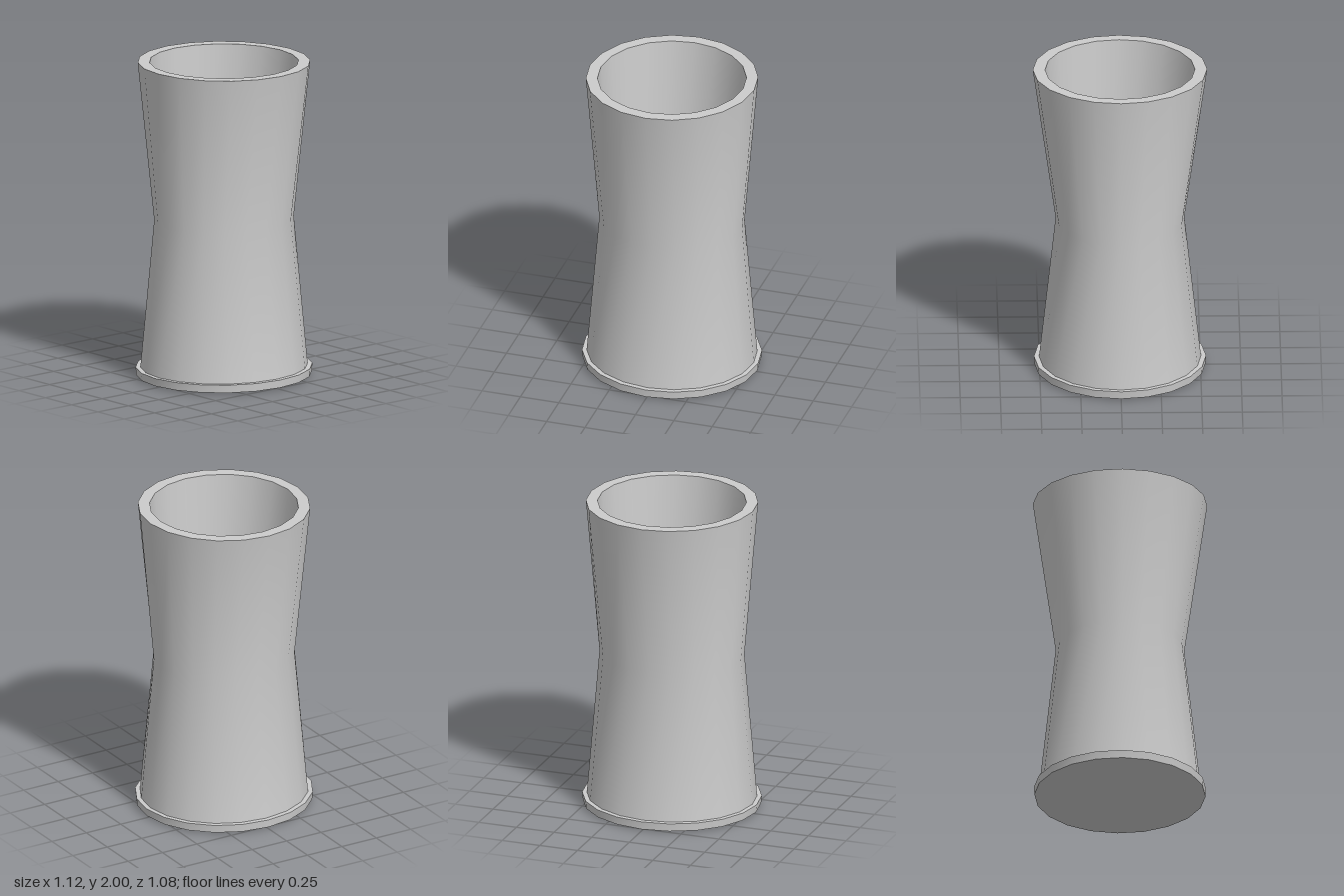
import * as THREE from 'three';

const SIDES = 20;

// Smooth band through elliptical rings [y, radiusX, radiusZ]; list rings upward
// for a surface facing outward, downward for one facing inward.
function loft(rings) {
  const pos = [], index = [];
  for (const [y, rx, rz] of rings) {
    for (let i = 0; i < SIDES; i++) {
      const a = (i / SIDES) * Math.PI * 2;
      pos.push(rx * Math.sin(a), y, rz * Math.cos(a));
    }
  }
  for (let r = 0; r < rings.length - 1; r++) {
    for (let i = 0; i < SIDES; i++) {
      const j = (i + 1) % SIDES;
      const a = r * SIDES + i, b = r * SIDES + j;
      index.push(a, b, b + SIDES, a, b + SIDES, a + SIDES);
    }
  }
  const geo = new THREE.BufferGeometry();
  geo.setAttribute('position', new THREE.Float32BufferAttribute(pos, 3));
  geo.setIndex(index);
  geo.computeVertexNormals();
  return geo;
}

export function createModel() {
  const group = new THREE.Group();
  const material = new THREE.MeshStandardMaterial({ color: 0xcccccc });
  const add = (name, rings) => {
    const mesh = new THREE.Mesh(loft(rings), material);
    mesh.name = name;
    group.add(mesh);
  };

  // Key cross-sections
  const rimOuter = [2, 0.535, 0.542];
  const rimInner = [2, 0.463, 0.466];
  const waist = [1, 0.457, 0.4];
  const foot = [0.06, 0.533, 0.503];
  const floorEdge = [0.75, 0.367, 0.37];
  const baseTop = [0.06, 0.562, 0.535];
  const baseBottom = [0.01, 0.557, 0.532];
  const baseInset = [0, 0.48, 0.45];

  // Cup: waisted outer wall, flat rim, tapering inside and floor
  add('outerWall', [foot, waist, rimOuter]);
  add('rim', [rimOuter, rimInner]);
  add('innerWall', [rimInner, floorEdge]);
  add('innerFloor', [floorEdge, [0.75, 0, 0]]);

  // Base flange
  add('baseTop', [baseTop, foot]);
  add('baseSide', [baseBottom, baseTop]);
  add('baseUnderside', [[0, 0, 0], baseInset, baseBottom]);

  return group;
}
